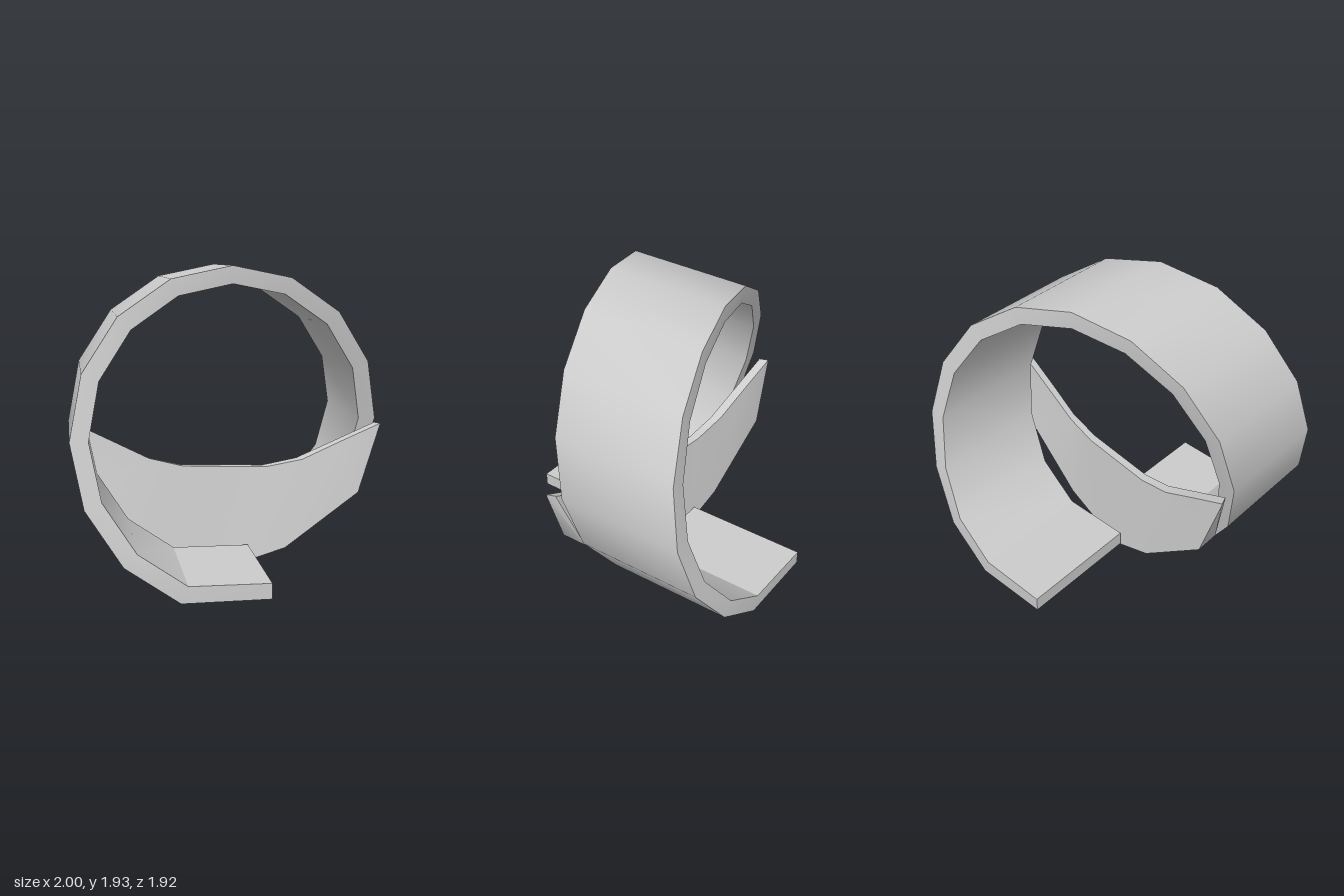
import * as THREE from 'three';
import { toCreasedNormals } from 'three/addons/utils/BufferGeometryUtils.js';

// Skins a row of four-cornered cross-sections and caps both ends.
function loft(sections, name) {
  const pos = [];
  const quad = (a, b, c, d) => pos.push(...a, ...b, ...c, ...a, ...c, ...d);
  for (let i = 0; i < sections.length - 1; i++) {
    const s = sections[i], t = sections[i + 1];
    for (let j = 0; j < 4; j++) {
      const n = (j + 1) % 4;
      quad(s[j], t[j], t[n], s[n]);
    }
  }
  quad(...sections[0]);
  quad(...[...sections[sections.length - 1]].reverse());
  const geo = new THREE.BufferGeometry();
  geo.setAttribute('position', new THREE.Float32BufferAttribute(pos, 3));
  const mesh = new THREE.Mesh(
    toCreasedNormals(geo, 0.6),
    new THREE.MeshStandardMaterial({ color: 0xcccccc })
  );
  mesh.name = name;
  return mesh;
}

// One turn of a wide helical strip, ending in flat tongues at the bottom.
function spiralBand() {
  const outer = 1, inner = 0.89, centreY = 0.93, half = 0.41;
  const sections = [];
  for (let k = -8; k <= 8; k++) {
    const a = k * Math.PI / 8;
    const end = Math.abs(k) === 8;
    const z = end ? -Math.sign(k) * 0.55 : Math.abs(k) === 7 ? -Math.sign(k) * 0.515 : -0.08 * k;
    const point = (r, dz) => end
      ? [-Math.sign(k) * 0.145, r === outer ? 0.02 : 0.115, z + dz]
      : [r * Math.sin(a), centreY + r * Math.cos(a), z + dz];
    sections.push([point(outer, half), point(outer, -half), point(inner, -half), point(inner, half)]);
  }
  return loft(sections, 'spiralBand');
}

// Crescent-shaped web slanting across the bottom; its back is its front turned half round.
function crescentWeb() {
  const top = [
    [1, 0.91, 0.21], [0.75, 0.79, 0.165], [0.51, 0.67, 0.12], [0.28, 0.62, 0.08],
    [-0.26, 0.62, -0.02], [-0.48, 0.67, -0.06], [-0.73, 0.79, -0.105], [-0.98, 0.91, -0.15]
  ];
  const bottom = [
    [1, 0.9, 0.21], [0.86, 0.46, 0.22], [0.39, 0.09, 0.16], [0.13, 0, 0.13],
    [-0.1, 0, 0.07], [-0.42, 0.1, 0.01], [-0.86, 0.46, -0.05], [-0.98, 0.9, -0.15]
  ];
  const turned = ([x, y, z]) => [-x, y, -z];
  const last = top.length - 1;
  return loft(
    top.map((p, i) => [p, bottom[i], turned(bottom[last - i]), turned(top[last - i])]),
    'crescentWeb'
  );
}

export function createModel() {
  const model = new THREE.Group();
  model.name = 'spiralRing';
  model.add(spiralBand(), crescentWeb());
  return model;
}
